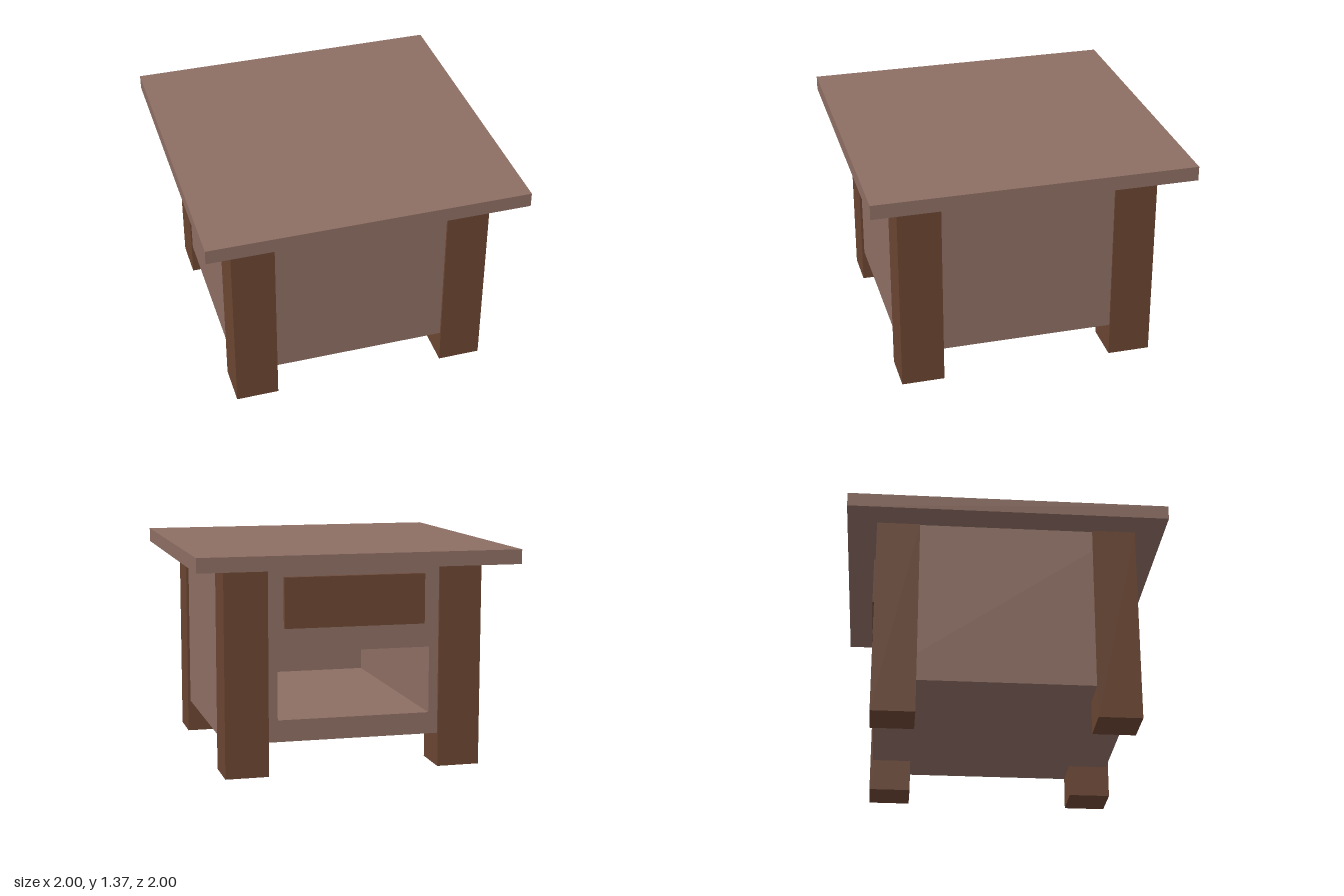
import * as THREE from 'three';

export function createModel() {
  const model = new THREE.Group();
  const paleWood = new THREE.MeshStandardMaterial({ color: 0x8d6e63 });
  paleWood.name = 'paleWood';
  const darkWood = new THREE.MeshStandardMaterial({ color: 0x6b4632 });
  darkWood.name = 'darkWood';

  // Box given by its lower and upper corners
  const box = (name, material, [x0, y0, z0], [x1, y1, z1]) => {
    const mesh = new THREE.Mesh(new THREE.BoxGeometry(x1 - x0, y1 - y0, z1 - z0), material);
    mesh.position.set((x0 + x1) / 2, (y0 + y1) / 2, (z0 + z1) / 2);
    mesh.name = name;
    model.add(mesh);
  };

  // Overhanging square top
  box('tableTop', paleWood, [-1, 1.28, -1], [1, 1.37, 1]);

  // Cabinet with an open shelf on the back side
  const rect = (path, x, y0, y1) =>
    path.moveTo(-x, y0).lineTo(x, y0).lineTo(x, y1).lineTo(-x, y1).closePath();
  const outline = rect(new THREE.Shape(), 0.8, 0.21, 1.28);
  outline.holes.push(rect(new THREE.Path(), 0.48, 0.345, 0.76));
  const cabinet = new THREE.Mesh(
    new THREE.ExtrudeGeometry(outline, { depth: 1.54, bevelEnabled: false }), paleWood);
  cabinet.position.z = -0.8;
  cabinet.name = 'cabinet';
  model.add(cabinet);
  box('frontPanel', paleWood, [-0.8, 0.21, 0.74], [0.8, 1.28, 0.8]);

  // Drawer face above the shelf
  box('drawerFront', darkWood, [-0.44, 0.91, -0.83], [0.44, 1.22, -0.79]);

  // Square corner legs, the back pair set slightly closer together
  for (const side of [-1, 1]) {
    for (const end of [-1, 1]) {
      const x = side * (end > 0 ? 0.682 : 0.674);
      const z = end * 0.68;
      box(`${end > 0 ? 'front' : 'back'}${side > 0 ? 'Left' : 'Right'}Leg`, darkWood,
        [x - 0.135, 0, z - 0.135], [x + 0.135, 1.28, z + 0.135]);
    }
  }
  return model;
}
